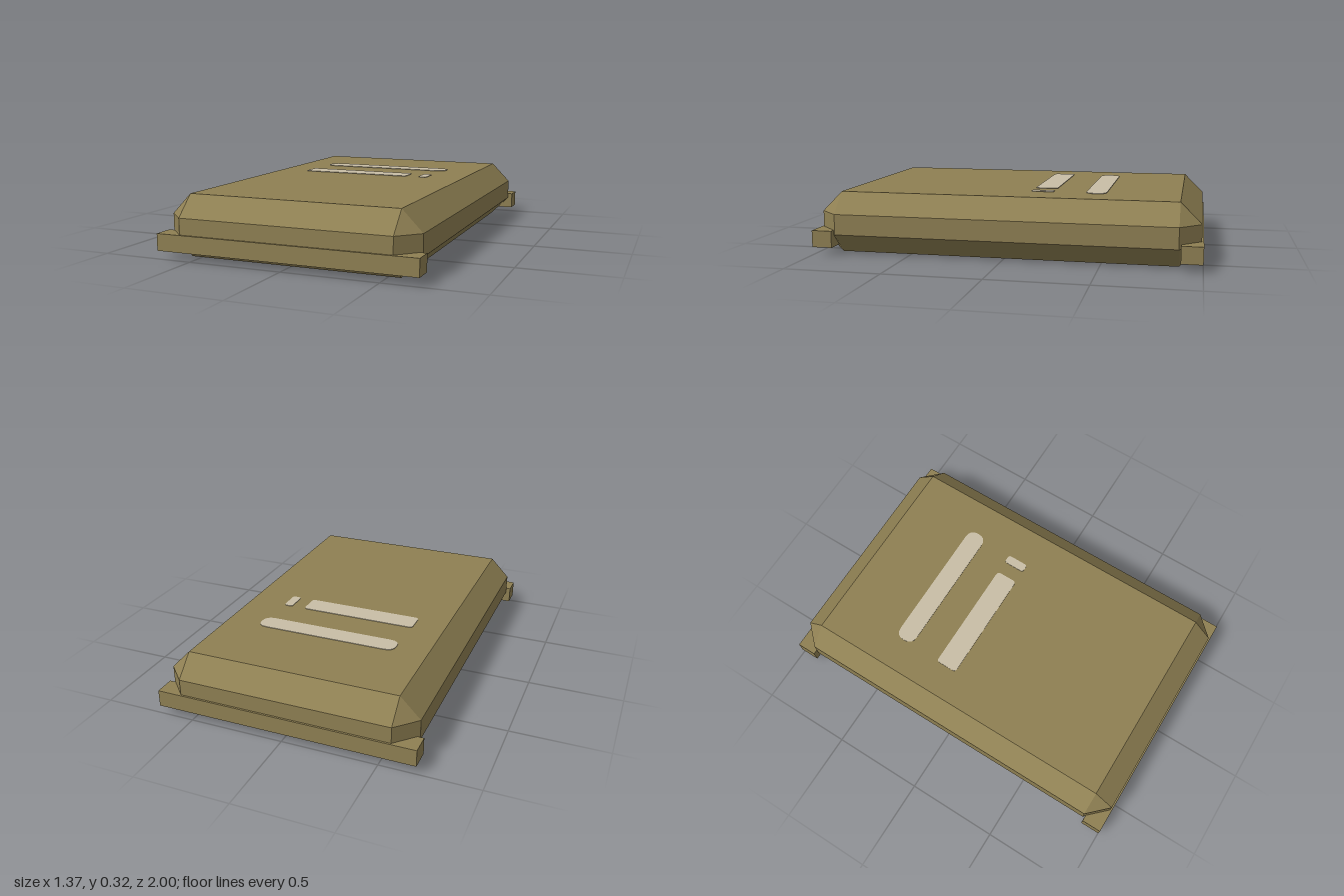
import * as THREE from 'three';
import { ConvexGeometry } from 'three/addons/geometries/ConvexGeometry.js';

export function createModel() {
  const model = new THREE.Group();
  model.name = 'chamferedCase';

  const khaki = new THREE.MeshStandardMaterial({ color: 0x8f8053 });
  khaki.name = 'khaki';
  const paint = new THREE.MeshStandardMaterial({ color: 0xc9bea6 });
  paint.name = 'palePaint';

  const add = (name, geometry, material) => {
    const mesh = new THREE.Mesh(geometry, material);
    mesh.name = name;
    model.add(mesh);
    return mesh;
  };

  // Body: a box with every edge chamfered, as the hull of its mirrored corners
  const outer = { x: 0.665, z: 0.99 }, inner = { x: 0.56, z: 0.882 };
  const height = 0.322, cut = 0.107;
  const corners = [];
  for (const sx of [-1, 1]) for (const sz of [-1, 1]) {
    for (const y of [0, height]) corners.push(new THREE.Vector3(sx * inner.x, y, sz * inner.z));
    for (const y of [cut, height - cut]) {
      corners.push(new THREE.Vector3(sx * outer.x, y, sz * inner.z));
      corners.push(new THREE.Vector3(sx * inner.x, y, sz * outer.z));
    }
  }
  add('body', new ConvexGeometry(corners), khaki);

  // Square rails across both ends
  for (const [name, side] of [['frontRail', 1], ['backRail', -1]]) {
    add(name, new THREE.BoxGeometry(1.374, 0.088, 0.107), khaki)
      .position.set(0, 0.086, side * 0.9465);
  }

  // Painted marks: thin plates with cut corners, from x0..x1 and z0..z1
  const mark = (name, x0, x1, z0, z1, r) => {
    const shape = new THREE.Shape();
    const a = -z1, b = -z0;
    shape.moveTo(x0 + r, a);
    shape.lineTo(x1 - r, a);
    shape.quadraticCurveTo(x1, a, x1, a + r);
    shape.lineTo(x1, b - r);
    shape.quadraticCurveTo(x1, b, x1 - r, b);
    shape.lineTo(x0 + r, b);
    shape.quadraticCurveTo(x0, b, x0, b - r);
    shape.lineTo(x0, a + r);
    shape.quadraticCurveTo(x0, a, x0 + r, a);
    const plate = new THREE.ExtrudeGeometry(shape, { depth: 0.004, bevelEnabled: false, curveSegments: 4 });
    plate.rotateX(-Math.PI / 2);
    add(name, plate, paint).position.y = height - 0.001;
  };
  mark('longStripe', -0.389, 0.38, -0.498, -0.39, 0.053);
  mark('shortStripe', -0.394, 0.236, -0.22, -0.1, 0.02);
  mark('smallMark', 0.31, 0.358, -0.22, -0.1, 0.015);

  return model;
}
